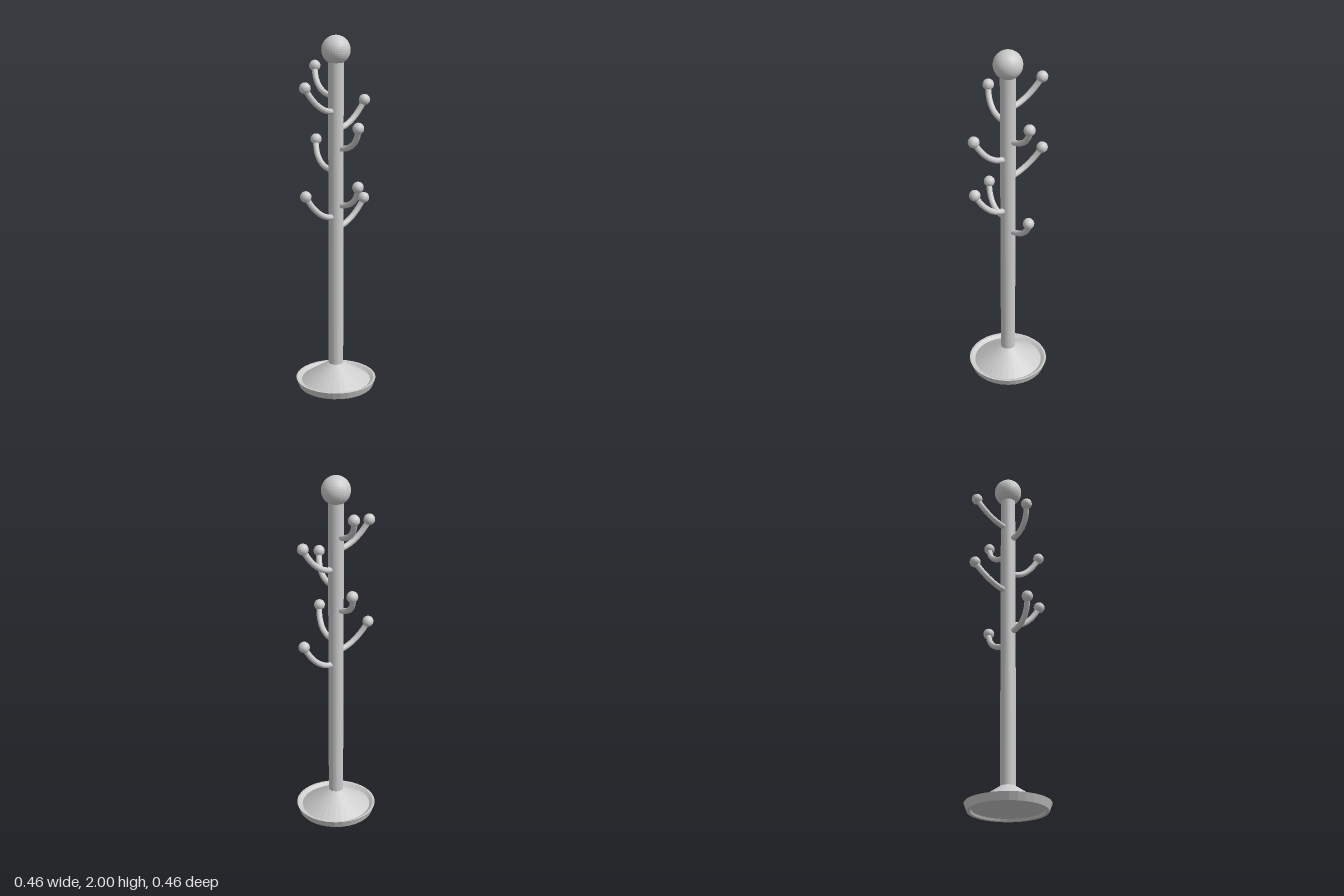
import * as THREE from 'three';

const material = new THREE.MeshStandardMaterial({ color: 0xcccccc, flatShading: true });

function addPart(parent, name, geometry, y = 0) {
  const mesh = new THREE.Mesh(geometry, material);
  mesh.name = name;
  mesh.position.y = y;
  parent.add(mesh);
  return mesh;
}

// One upturned hook: it leaves the pole level, then rises and leans sideways
function makeHook(name, turn, tipY, lean) {
  const reach = 0.195, rise = 0.14;
  const hook = new THREE.Group();
  hook.name = name;
  hook.position.y = tipY - rise;
  hook.rotation.y = turn;
  const curve = new THREE.CubicBezierCurve3(
    new THREE.Vector3(0.025, 0, 0),
    new THREE.Vector3(0.105, 0, 0),
    new THREE.Vector3(0.17, rise * 0.42, lean * 0.42),
    new THREE.Vector3(reach, rise, lean)
  );
  addPart(hook, 'hookArm', new THREE.TubeGeometry(curve, 16, 0.016, 14));
  const ball = addPart(hook, 'hookBall', new THREE.SphereGeometry(0.031, 24, 16), rise);
  ball.position.set(reach, rise, lean);
  return hook;
}

export function createModel() {
  const model = new THREE.Group();
  model.name = 'coatStand';
  const stand = new THREE.Group();
  stand.name = 'stand';
  stand.position.z = -0.004;
  model.add(stand);

  // Round foot: recessed underside, flared rim with an inner groove, cone up to the pole
  const profile = [
    [0, 0.012], [0.19, 0.012], [0.195, 0], [0.214, 0], [0.229, 0.042],
    [0.217, 0.042], [0.197, 0.028], [0.043, 0.132], [0, 0.132]
  ].map(([r, y]) => new THREE.Vector2(r, y));
  addPart(stand, 'base', new THREE.LatheGeometry(profile, 32));

  // Pole and finial
  addPart(stand, 'pole', new THREE.CylinderGeometry(0.042, 0.042, 1.77, 32), 0.995);
  addPart(stand, 'finial', new THREE.SphereGeometry(0.078, 32, 20), 1.922);

  // Two tiers of four hooks: direction, sideways lean, upper and lower tip heights
  const q = Math.PI / 2;
  const hooks = [
    ['right', 2 * q, [0.061, 0.069], [1.815, 1.405]],
    ['front', -q, [0.053, 0.053], [1.737, 1.15]],
    ['back', q, [0.045, 0.045], [1.635, 1.08]],
    ['left', 0, [0.059, 0.059], [1.533, 1.215]]
  ];
  for (const [side, turn, lean, tips] of hooks) {
    ['Upper', 'Lower'].forEach((tier, i) =>
      stand.add(makeHook(`${side}${tier}Hook`, turn, tips[i], lean[i])));
  }
  return model;
}
